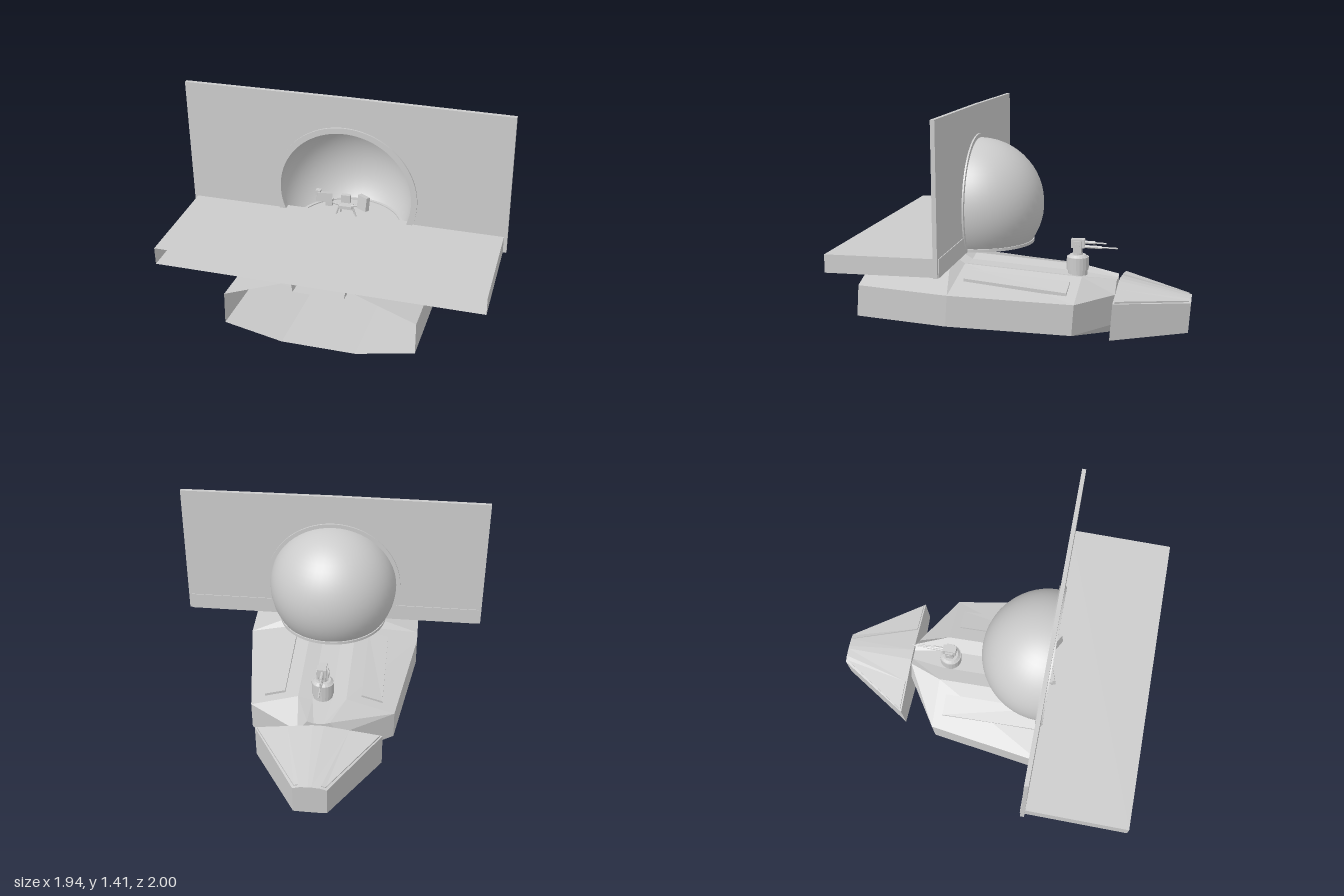
import * as THREE from 'three';

const flat = new THREE.MeshStandardMaterial({ color: 0xcccccc, flatShading: true, side: THREE.DoubleSide });
const smooth = new THREE.MeshStandardMaterial({ color: 0xcccccc, side: THREE.DoubleSide });

function add(parent, name, geometry, x = 0, y = 0, z = 0, material = flat) {
  const mesh = new THREE.Mesh(geometry, material);
  mesh.name = name;
  mesh.position.set(x, y, z);
  parent.add(mesh);
  return mesh;
}

// Skins closed cross-sections { z, pts } listed by increasing z, corners anticlockwise
function loft(sections, capStart, capEnd) {
  const pos = [];
  const put = (s, j) => pos.push(...s.pts[j % s.pts.length], s.z);
  for (let i = 0; i < sections.length - 1; i++) {
    const a = sections[i], b = sections[i + 1];
    for (let j = 0; j < a.pts.length; j++) {
      put(a, j); put(a, j + 1); put(b, j + 1);
      put(a, j); put(b, j + 1); put(b, j);
    }
  }
  const first = sections[0], last = sections[sections.length - 1];
  for (let j = 1; j < first.pts.length - 1; j++) {
    if (capStart) { put(first, 0); put(first, j + 1); put(first, j); }
    if (capEnd) { put(last, 0); put(last, j); put(last, j + 1); }
  }
  const g = new THREE.BufferGeometry();
  g.setAttribute('position', new THREE.Float32BufferAttribute(pos, 3));
  g.computeVertexNormals();
  return g;
}

// Completes a right half section with its mirror image
const mirrored = (z, half) => ({ z, pts: [...half, ...half.map(([x, y]) => [-x, y]).reverse()] });

// A thin slab section lying along the line from (x0,y0) to (x1,y1)
const slab = (z, x0, y0, x1, y1, t) => ({ z, pts: [[x0, y0 - t], [x1, y1 - t], [x1, y1 + t], [x0, y0 + t]] });

function rod(parent, name, from, to, r, sides = 8) {
  const a = new THREE.Vector3(...from), b = new THREE.Vector3(...to);
  const dir = b.clone().sub(a);
  const mesh = add(parent, name, new THREE.CylinderGeometry(r, r, dir.length(), sides));
  mesh.position.copy(a).addScaledVector(dir, 0.5);
  mesh.quaternion.setFromUnitVectors(new THREE.Vector3(0, 1, 0), dir.normalize());
  return mesh;
}

function mirrorPair(parent, name, geometry) {
  add(parent, name + 'Left', geometry);
  add(parent, name + 'Right', geometry).scale.x = -1;
}

function createHull() {
  const hull = new THREE.Group();
  hull.name = 'hull';
  hull.rotation.x = -0.07;
  // z, bottom half width, side half width, shoulder x/y, channel x/y
  const stations = [
    [-0.52, 0.05, 0.13, 0.07, 0.385, 0.03, 0.37],
    [-0.31, 0.20, 0.45, 0.15, 0.395, 0.06, 0.375],
    [0.43, 0.22, 0.565, 0.15, 0.395, 0.06, 0.375],
    [0.52, 0.22, 0.565, 0.16, 0.449, 0.15, 0.385],
    [0.975, 0.22, 0.565, 0.16, 0.449, 0.15, 0.385],
  ];
  const sections = stations.map(([z, b, w, ax, ay, cx, cy]) =>
    mirrored(z, [[b, 0.04], [w, 0.11], [w, 0.30], [ax, ay], [cx, cy]]));
  add(hull, 'mainHull', loft(sections, true, false));

  // long pads on the sloping deck
  mirrorPair(hull, 'deckPad', loft([
    slab(-0.25, 0.24, 0.367, 0.37, 0.328, 0.015),
    slab(0.38, 0.24, 0.375, 0.37, 0.345, 0.015),
  ], true, true));

  // wedge nose
  add(hull, 'nose', loft([
    mirrored(-0.985, [[0.05, 0.103], [0.10, 0.105], [0.10, 0.295], [0.06, 0.308], [0.01, 0.312]]),
    mirrored(-0.53, [[0.12, 0.04], [0.39, 0.09], [0.39, 0.315], [0.19, 0.344], [0.035, 0.366]]),
  ], true, true));
  mirrorPair(hull, 'nosePanel', loft([
    slab(-0.97, 0.066, 0.307, 0.092, 0.299, 0.008),
    slab(-0.54, 0.19, 0.344, 0.375, 0.318, 0.01),
  ], true, true));
  return hull;
}

function createTurret() {
  const turret = new THREE.Group();
  turret.name = 'turret';
  turret.position.z = -0.29;
  add(turret, 'pedestal', new THREE.CylinderGeometry(0.062, 0.062, 0.17, 20), 0, 0.365, 0);
  add(turret, 'pedestalDrum', new THREE.CylinderGeometry(0.07, 0.07, 0.08, 20), 0, 0.425, 0);
  add(turret, 'pedestalCap', new THREE.CylinderGeometry(0.05, 0.065, 0.014, 20), 0, 0.472, 0);
  add(turret, 'neck', new THREE.CylinderGeometry(0.028, 0.032, 0.05, 12), 0, 0.5, 0);
  for (const s of [-1, 1]) add(turret, 'yoke', new THREE.BoxGeometry(0.012, 0.075, 0.05), s * 0.03, 0.53, 0);
  add(turret, 'head', new THREE.BoxGeometry(0.046, 0.055, 0.085), 0, 0.55, -0.002);
  rod(turret, 'pivot', [-0.042, 0.535, 0], [0.042, 0.535, 0], 0.018, 12);
  // stacked barrels
  rod(turret, 'lowerBarrel', [0, 0.53, -0.03], [0, 0.525, -0.25], 0.005);
  rod(turret, 'lowerSleeve', [0, 0.53, -0.03], [0, 0.527, -0.15], 0.01);
  rod(turret, 'upperBarrel', [0, 0.558, -0.03], [0, 0.553, -0.18], 0.005);
  rod(turret, 'upperSleeve', [0, 0.558, -0.03], [0, 0.556, -0.11], 0.01);
  return turret;
}

function createConsole() {
  const desk = new THREE.Group();
  desk.name = 'console';
  desk.position.z = 0.36;
  for (const s of [-1, 1]) {
    rod(desk, 'outerLeg', [s * 0.09, 0.555, 0.005], [s * 0.04, 0.71, 0], 0.005);
    rod(desk, 'innerLeg', [s * 0.06, 0.555, -0.06], [s * 0.03, 0.71, -0.01], 0.004);
    rod(desk, 'arm', [0, 0.7, 0], [s * 0.1, 0.73, 0.01], 0.007);
  }
  add(desk, 'hub', new THREE.BoxGeometry(0.08, 0.02, 0.05), 0, 0.705, 0);
  add(desk, 'centreScreen', new THREE.BoxGeometry(0.055, 0.05, 0.025), 0, 0.755, -0.005);
  const left = add(desk, 'leftBox', new THREE.BoxGeometry(0.07, 0.085, 0.03), 0.113, 0.755, 0.02);
  left.rotation.set(-0.15, -0.5, -0.08);
  const right = add(desk, 'rightBox', new THREE.BoxGeometry(0.09, 0.055, 0.03), -0.125, 0.765, 0.025);
  right.rotation.set(-0.15, 0.35, -0.06);
  add(desk, 'rightKnob', new THREE.BoxGeometry(0.04, 0.04, 0.03), -0.1, 0.725, 0.01);
  add(desk, 'rightCorner', new THREE.BoxGeometry(0.03, 0.03, 0.03), -0.163, 0.79, 0.02);
  return desk;
}

export function createModel() {
  const model = new THREE.Group();
  model.name = 'gunStation';
  const cy = 0.79, base = 0.54;
  const extrude = (shape, depth) => new THREE.ExtrudeGeometry(shape, { depth, bevelEnabled: false, curveSegments: 40 });

  // upright wall with a round opening cut through its lower edge
  const wallR = 0.42, wa = Math.asin((base - cy) / wallR);
  const wall = new THREE.Shape();
  wall.moveTo(0.97, base);
  wall.lineTo(0.97, 1.405);
  wall.lineTo(0, 1.41);
  wall.lineTo(-0.97, 1.405);
  wall.lineTo(-0.97, base);
  wall.lineTo(-wallR * Math.cos(wa), base);
  wall.absarc(0, cy, wallR, Math.PI - wa, wa, true);
  add(model, 'wall', extrude(wall, 0.025), 0, 0, 0.345);

  // raised frame around the opening
  const ro = 0.435, ri = 0.4;
  const ao = Math.asin((base + 0.005 - cy) / ro), ai = Math.asin((base + 0.005 - cy) / ri);
  const frame = new THREE.Shape();
  frame.absarc(0, cy, ro, ao, Math.PI - ao, false);
  frame.absarc(0, cy, ri, Math.PI - ai, ai, true);
  add(model, 'openingFrame', extrude(frame, 0.045), 0, 0, 0.335);

  // platform, hollow and open at the front
  const platform = new THREE.BoxGeometry(1.9, 0.105, 0.66);
  platform.setIndex([...platform.index.array].filter((_, i) => i < 24 || i >= 30));
  platform.clearGroups();
  add(model, 'platform', platform, 0, 0.5925, 0.67);

  // half dome with its floor and lower rim
  const r = 0.41, cut = Math.acos((0.555 - cy) / r), floorR = r * Math.sin(cut);
  add(model, 'dome', new THREE.SphereGeometry(r, 24, 20, Math.PI, Math.PI, 0, cut), 0, cy, 0.34, smooth);
  const floor = add(model, 'domeFloor', new THREE.CircleGeometry(floorR, 24, 0, Math.PI), 0, 0.556, 0.34);
  floor.rotation.x = -Math.PI / 2;
  const rim = new THREE.Shape();
  rim.absarc(0, 0, floorR + 0.012, 0, Math.PI, false);
  rim.absarc(0, 0, floorR - 0.012, Math.PI, 0, true);
  add(model, 'domeRim', extrude(rim, 0.018), 0, 0.545, 0.34).rotation.x = -Math.PI / 2;

  model.add(createHull(), createTurret(), createConsole());
  return model;
}
